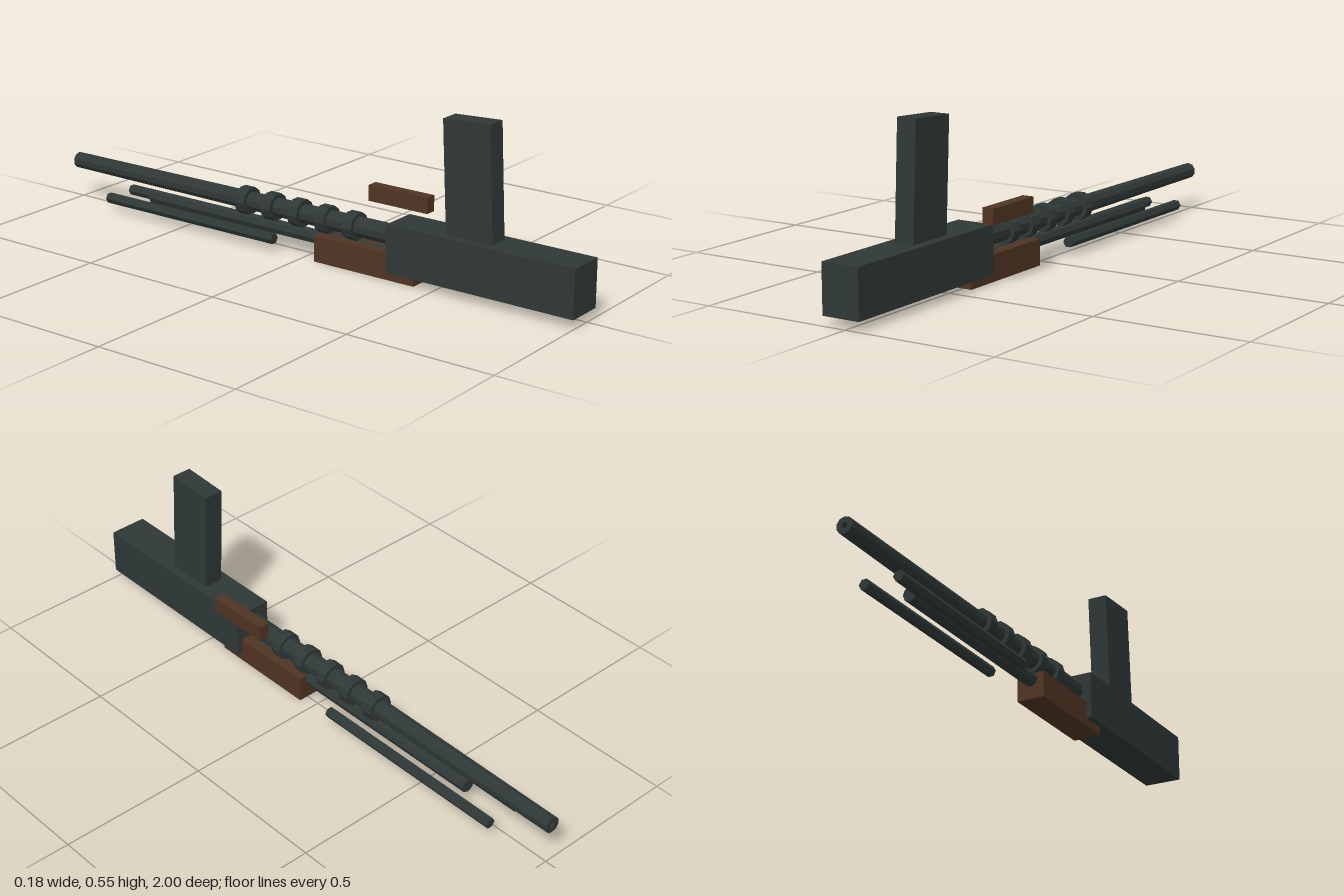
import * as THREE from 'three';

export function createModel() {
  const model = new THREE.Group();
  const steel = new THREE.MeshStandardMaterial({ color: 0x2f3837, flatShading: true });
  steel.name = 'gunmetal';
  const wood = new THREE.MeshStandardMaterial({ color: 0x503423, flatShading: true });
  wood.name = 'walnut';

  const CX = -0.016; // centre line of the main body
  const BORE_Y = 0.133; // height of the barrel axis

  const add = (name, geometry, material, x, y, z) => {
    const mesh = new THREE.Mesh(geometry, material);
    mesh.name = name;
    mesh.position.set(x, y, z);
    model.add(mesh);
    return mesh;
  };
  const box = (name, material, [x0, x1], [y0, y1], [z0, z1]) =>
    add(name, new THREE.BoxGeometry(x1 - x0, y1 - y0, z1 - z0), material,
      (x0 + x1) / 2, (y0 + y1) / 2, (z0 + z1) / 2);
  // Solid rod lying along z, with corners pointing sideways
  const rod = (name, radius, sides, x, y, z0, z1) =>
    add(name,
      new THREE.CylinderGeometry(radius, radius, z1 - z0, sides, 1, false, Math.PI / 2).rotateX(Math.PI / 2),
      steel, x, y, (z0 + z1) / 2);

  // Receiver and wooden furniture
  box('receiver', steel, [-0.079, 0.049], [0.03, 0.186], [0.338, 1]);
  box('handguard', wood, [-0.062, 0.032], [0, 0.086], [0.05, 0.43]);
  box('carryHandle', wood, [0.052, 0.09], [0.197, 0.249], [0.178, 0.4]);

  // Upright magazine, leaning slightly toward the muzzle
  const magazine = add('magazine', new THREE.BoxGeometry(0.066, 0.42, 0.165), steel, -0.015, 0.339, 0.611);
  magazine.rotation.x = -0.05;

  // Tapered barrel with a hollow muzzle; profile runs from breech to bore
  const profile = [[0, -0.36], [0.034, -0.36], [0.027, 1], [0.01, 1], [0.01, 0.95], [0, 0.95]]
    .map(([r, h]) => new THREE.Vector2(r, h));
  add('barrel', new THREE.LatheGeometry(profile, 10).rotateX(-Math.PI / 2), steel, CX, BORE_Y, 0);

  // Cooling rings
  for (let i = 0; i < 5; i++) {
    const z = 0.174 - i * 0.107;
    rod('coolingRing' + (i + 1), 0.046, 10, CX, BORE_Y, z - 0.019, z + 0.019);
  }

  // Gas tube under the barrel and the folded bipod legs
  rod('gasTube', 0.024, 8, CX, 0.066, -0.66, 0.34);
  for (const side of [-1, 1]) {
    rod(side > 0 ? 'bipodLegLeft' : 'bipodLegRight', 0.018, 6, CX + side * 0.057, 0.047, -0.81, -0.1);
  }
  return model;
}
